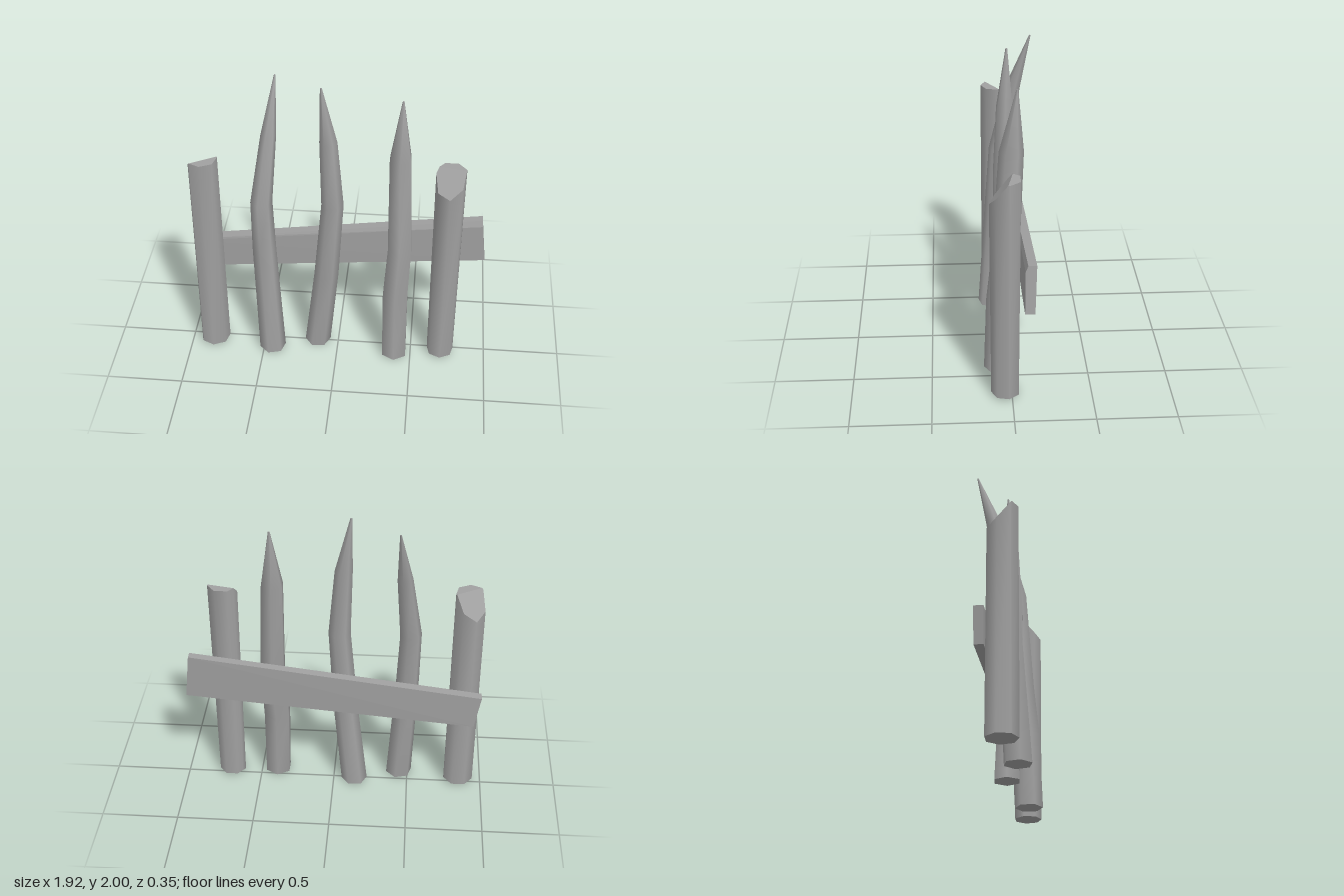
import * as THREE from 'three';
import { mergeGeometries } from 'three/addons/utils/BufferGeometryUtils.js';

const V = (x, y, z) => new THREE.Vector3(x, y, z);

// Horizontal ring of points around (x, y, z)
function ring([x, y, z, r], sides, phase) {
  return Array.from({ length: sides }, (_, i) => {
    const a = THREE.MathUtils.degToRad(phase) + (i / sides) * Math.PI * 2;
    return V(x + r * Math.cos(a), y, z + r * Math.sin(a));
  });
}

function fromPoints(points, index) {
  const g = new THREE.BufferGeometry().setFromPoints(points);
  g.setIndex(index);
  g.computeVertexNormals();
  return g;
}

// Smooth skin through closed rings
function skin(rings) {
  const n = rings[0].length, index = [];
  for (let k = 0; k < rings.length - 1; k++) {
    for (let i = 0; i < n; i++) {
      const a = k * n + i, b = k * n + (i + 1) % n;
      index.push(a, a + n, b, b, a + n, b + n);
    }
  }
  return fromPoints(rings.flat(), index);
}

// Flat polygon facing up or down
function cap(points, up) {
  const index = [];
  for (let i = 1; i < points.length - 1; i++) {
    index.push(0, ...(up ? [i + 1, i] : [i, i + 1]));
  }
  return fromPoints(points, index);
}

// Bent stake sharpened to a point
function stakeGeometry(sections, phase) {
  const rings = sections.map((s) => ring(s, 6, phase));
  return mergeGeometries([skin(rings), cap(rings[0], false), cap(rings.at(-1), true)]);
}

// Straight post with one slanted cut across its top
function postGeometry(base, top, nx, nz, offset, slope) {
  const lower = ring(base, 7, 90), upper = ring(top, 7, 90);
  const depth = (p) => (p.x - top[0]) * nx + (p.z - top[2]) * nz - offset;
  const bottom = [], rim = [], flat = [], slant = [];
  upper.forEach((p, i) => {
    const j = (i + 1) % upper.length, q = upper[j];
    const dp = depth(p), dq = depth(q);
    const c = p.clone();
    c.y -= slope * Math.max(0, dp);
    bottom.push(lower[i]);
    rim.push(c);
    (dp > 0 ? slant : flat).push(c);
    if (dp * dq < 0) {
      const t = dp / (dp - dq), m = p.clone().lerp(q, t);
      bottom.push(lower[i].clone().lerp(lower[j], t));
      rim.push(m);
      flat.push(m);
      slant.push(m);
    }
  });
  return mergeGeometries([
    skin([bottom, rim]), cap(bottom, false), cap(flat, true), cap(slant, true),
  ]);
}

// Crooked rail with its front top edge worn away towards one end
function railGeometry() {
  const left = [V(-0.92, 0.56, -0.055), V(-0.958, 0.77, -0.05), V(-0.96, 0.785, -0.052),
    V(-0.96, 0.785, -0.112), V(-0.92, 0.56, -0.112)];
  const right = [V(0.957, 0.73, -0.062), V(0.928, 0.995, -0.065), V(0.925, 1.035, -0.08),
    V(0.925, 1.035, -0.132), V(0.957, 0.73, -0.122)];
  const index = [];
  for (let i = 0; i < 5; i++) {
    const j = (i + 1) % 5;
    index.push(i, i + 5, j, j, i + 5, j + 5);
  }
  for (let i = 1; i < 4; i++) index.push(0, i, i + 1, 5, 6 + i, 5 + i);
  const g = fromPoints([...left, ...right], index).toNonIndexed();
  g.computeVertexNormals();
  return g;
}

export function createModel() {
  const group = new THREE.Group();
  const wood = new THREE.MeshStandardMaterial({ color: 0xa0a0a0 });
  wood.name = 'greyWood';

  const add = (name, geometry) => {
    const mesh = new THREE.Mesh(geometry, wood);
    mesh.name = name;
    group.add(mesh);
  };

  // End posts
  add('rightPost', postGeometry([-0.848, 0.02, 0.04, 0.1], [-0.853, 1.485, 0.04, 0.097],
    -0.5, -0.85, -0.02, 1.4));
  add('leftPost', postGeometry([0.7, 0.02, 0.04, 0.09], [0.704, 1.485, 0.04, 0.097],
    -0.2, 0.98, -0.03, 1.25));

  // Pointed stakes: x, y, z, radius from the ground up
  add('rightStake', stakeGeometry([
    [-0.442, 0.01, 0.09, 0.088], [-0.48, 0.82, 0.045, 0.077], [-0.49, 1.17, 0.025, 0.071],
    [-0.442, 1.62, -0.06, 0.05], [-0.405, 1.985, -0.17, 0.005]], 105));
  add('middleStake', stakeGeometry([
    [-0.14, 0.01, -0.008, 0.086], [-0.078, 0.6, 0.005, 0.08], [-0.035, 1.17, 0.02, 0.071],
    [-0.06, 1.63, 0.01, 0.056], [-0.105, 2, -0.005, 0.006]], -5));
  add('leftStake', stakeGeometry([
    [0.389, 0.005, 0.075, 0.09], [0.384, 0.5, 0.055, 0.093], [0.402, 0.85, 0.025, 0.087],
    [0.386, 1.52, -0.01, 0.076], [0.39, 1.912, -0.045, 0.006]], 90));

  // Cross rail behind the stakes
  add('crossRail', railGeometry());
  return group;
}
